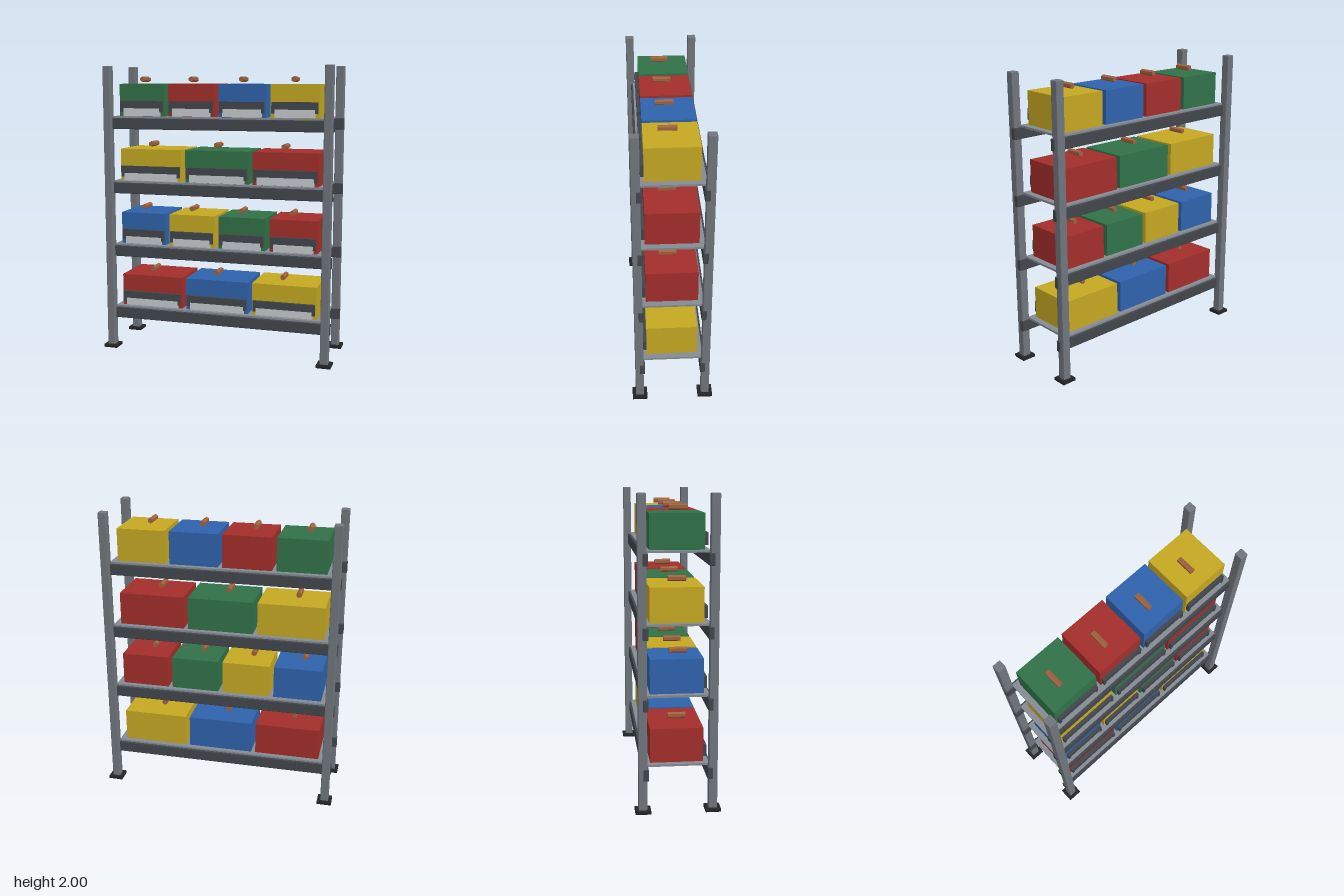
import * as THREE from 'three';
import { RoundedBoxGeometry } from 'three/addons/geometries/RoundedBoxGeometry.js';

const mat = (color) => new THREE.MeshStandardMaterial({ color, flatShading: true });
const MATS = {
  post: mat(0x70767d), beam: mat(0x42464c), deck: mat(0x858b94), foot: mat(0x222426),
  frame: mat(0x42464c), panel: mat(0xc8ccd0), handle: mat(0xa0623f),
  red: mat(0xa32e2b), green: mat(0x317249), blue: mat(0x2f63ad), yellow: mat(0xc5a822),
};

function add(parent, name, geometry, material, x, y, z) {
  const mesh = new THREE.Mesh(geometry, material);
  mesh.name = name;
  mesh.position.set(x, y, z);
  parent.add(mesh);
  return mesh;
}

// Box with a narrow chamfer on every edge
const chamferBox = (w, h, d, r) => new RoundedBoxGeometry(w, h, d, 1, r);

// Open-bottomed frame: a top bar with two short legs
function frameGeometry(w) {
  const o = w / 2 - 0.01, i = w / 2 - 0.028;
  const shape = new THREE.Shape([
    [-o, 0.028], [-i, 0.028], [-i, 0.055], [i, 0.055],
    [i, 0.028], [o, 0.028], [o, 0.104], [-o, 0.104],
  ].map(([x, y]) => new THREE.Vector2(x, y)));
  return new THREE.ExtrudeGeometry(shape, { depth: 0.022, bevelEnabled: false });
}

// Storage bin with a front frame, pale panel and six-sided handle
function makeBin(w, color) {
  const bin = new THREE.Group();
  bin.name = color + 'Bin';
  add(bin, 'binBody', new THREE.BoxGeometry(w, 0.222, 0.34), MATS[color], 0, 0.111, 0);
  add(bin, 'frontFrame', frameGeometry(w), MATS.frame, 0, 0, 0.17);
  add(bin, 'frontPanel', new THREE.BoxGeometry(w - 0.055, 0.055, 0.006), MATS.panel, 0, 0.0285, 0.171);
  const bar = new THREE.CylinderGeometry(0.019, 0.019, 0.117, 6).rotateX(Math.PI / 2);
  add(bin, 'handle', bar, MATS.handle, -0.031, 0.253, 0.02);
  return bin;
}

export function createModel() {
  const model = new THREE.Group();
  model.name = 'shelvingRack';

  // Corner posts and their feet
  for (const x of [-0.77, 0.77]) {
    for (const z of [-0.222, 0.222]) {
      add(model, 'post', chamferBox(0.056, 2, 0.056, 0.005), MATS.post, x, 1, z);
      add(model, 'foot', chamferBox(0.1, 0.022, 0.1, 0.003), MATS.foot, x, 0.016, z);
    }
  }

  // Shelves, lowest first, each with its row of bins
  const rows = [
    ['red', 'blue', 'yellow'],
    ['blue', 'yellow', 'green', 'red'],
    ['yellow', 'green', 'red'],
    ['green', 'red', 'blue', 'yellow'],
  ];
  const gap = 0.03, left = -0.706, span = 1.407;
  rows.forEach((colors, i) => {
    const shelf = new THREE.Group();
    shelf.name = 'shelf' + (i + 1);
    shelf.position.y = 0.307 + i * 0.45;
    model.add(shelf);

    add(shelf, 'deck', new THREE.BoxGeometry(1.49, 0.014, 0.41), MATS.deck, 0, -0.007, 0);
    for (const z of [-0.202, 0.202]) {
      add(shelf, 'beam', chamferBox(1.606, 0.076, 0.034, 0.004), MATS.beam, 0, -0.05, z);
    }

    const w = (span - gap * (colors.length - 1)) / colors.length;
    colors.forEach((color, k) => {
      const bin = makeBin(w, color);
      bin.position.x = left + w / 2 + k * (w + gap);
      shelf.add(bin);
    });
  });
  return model;
}
